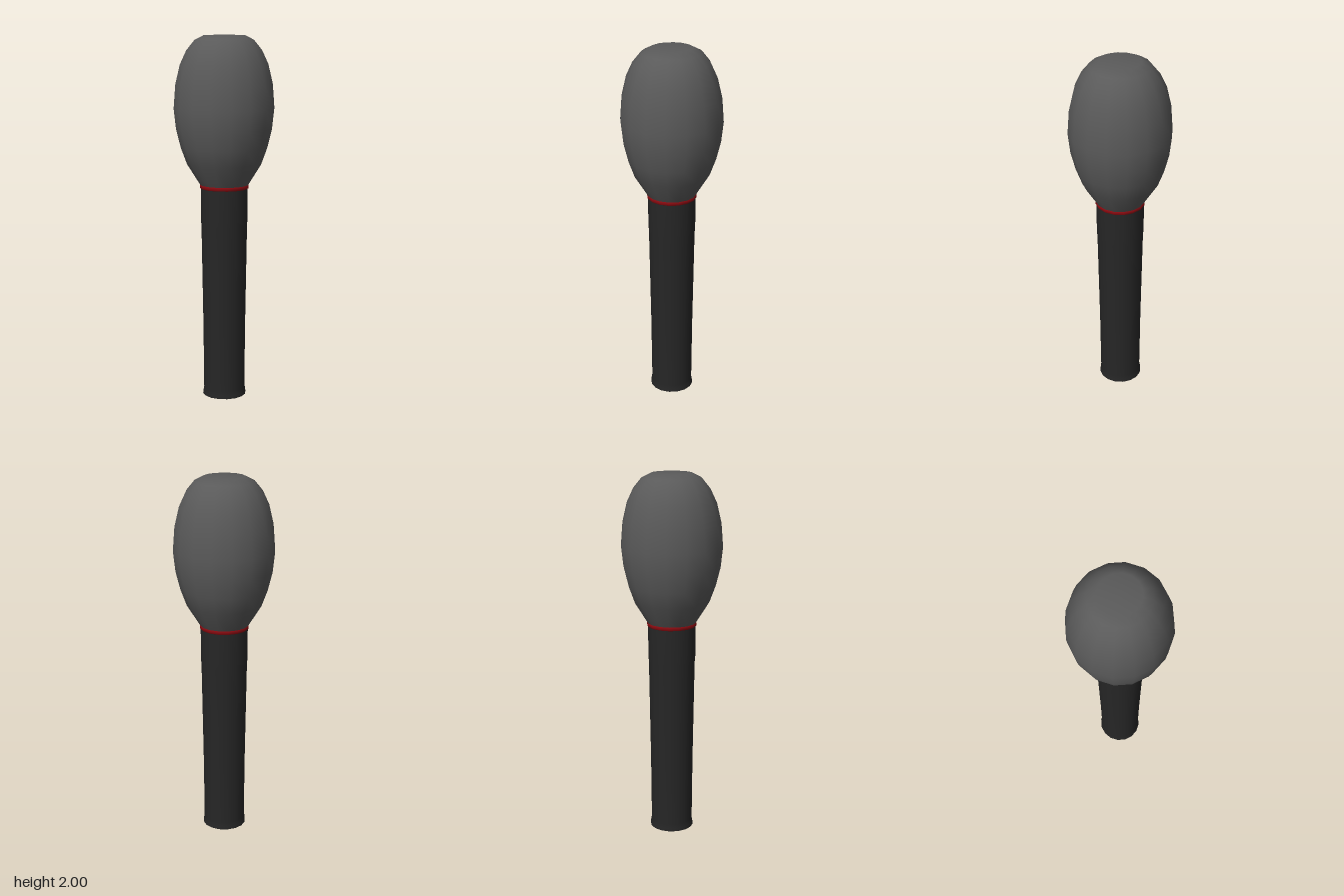
import * as THREE from 'three';

const SIDES = 16;

export function createModel() {
  const model = new THREE.Group();
  model.name = 'microphone';

  const add = (name, geometry, color) => {
    const mesh = new THREE.Mesh(geometry, new THREE.MeshStandardMaterial({ color }));
    mesh.name = name;
    model.add(mesh);
    return mesh;
  };
  // Turned part from [radius, height] pairs, bottom to top
  const turned = (name, profile, color) =>
    add(name, new THREE.LatheGeometry(profile.map(([r, y]) => new THREE.Vector2(r, y)), SIDES), color);

  // Tapered handle with a small flare at the foot
  turned('handle', [[0.121, 0], [0.12, 0.015], [0.115, 0.04], [0.118, 0.4], [0.127, 0.97], [0.13, 1.0], [0.13, 1.175]], 0x262626);

  // Flat underside of the handle
  const base = add('handleBase', new THREE.CircleGeometry(0.121, SIDES), 0x262626);
  base.rotation.x = Math.PI / 2;

  // Coloured ring between handle and head
  turned('collarRing', [[0.128, 1.172], [0.135, 1.178], [0.135, 1.192], [0.128, 1.198]], 0x8a0a10);

  // Egg-shaped head with a flattened top
  turned('grilleHead', [
    [0.13, 1.19], [0.205, 1.31], [0.238, 1.4], [0.263, 1.5], [0.275, 1.61],
    [0.265, 1.74], [0.24, 1.845], [0.205, 1.92], [0.16, 1.975], [0.11, 2.0], [0, 2.0],
  ], 0x5a5a5a);

  return model;
}
